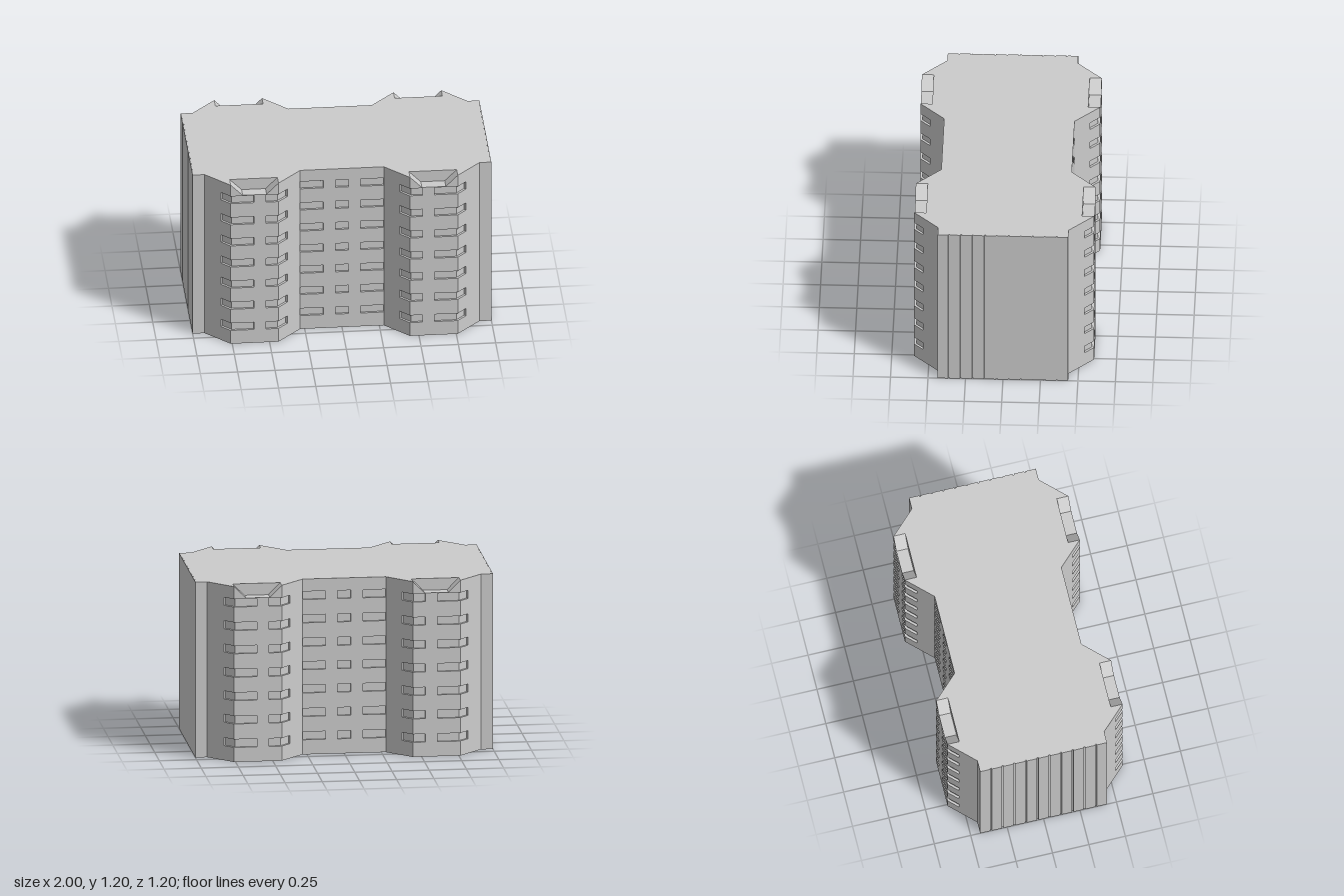
import * as THREE from 'three';

const H = 1.2, FLOORS = 7, PITCH = 0.16, SILL = 0.1, BAND = 0.055;
const FACE = 0.6, NOTCH_Z = 0.52, NOTCH_Y = 1.12;

const material = new THREE.MeshStandardMaterial({ color: 0xcccccc, side: THREE.DoubleSide });

// Flat-shaded mesh from a list of quads, each with four [x, y, z] corners
function quadMesh(name, quads) {
  const pos = [];
  for (const [a, b, c, d] of quads) pos.push(...a, ...b, ...c, ...a, ...c, ...d);
  const g = new THREE.BufferGeometry();
  g.setAttribute('position', new THREE.Float32BufferAttribute(pos, 3));
  g.computeVertexNormals();
  const m = new THREE.Mesh(g, material);
  m.name = name;
  return m;
}

// Plan of one quarter: outer x, z, then the recessed x, z where a window sits
const quarter = [
  [0, 0.435, 0, 0.42], [0.045, 0.435, 0.045, 0.42], [0.045, 0.435],
  [0.125, 0.435], [0.125, 0.435, 0.125, 0.42], [0.28, 0.435, 0.28, 0.42], [0.28, 0.435],
  [0.375, 0.533], [0.375, 0.533, 0.386, 0.522], [0.44, FACE, 0.447, 0.585],
  [0.525, FACE, 0.525, 0.585], [0.525, FACE], [0.605, FACE], [0.605, FACE, 0.605, 0.585],
  [0.76, FACE, 0.753, 0.585], [0.82, 0.538, 0.809, 0.527], [0.82, 0.538],
  [0.92, 0.435], [1, 0.435],
].map(([x, z, ix = x, iz = z]) => [x, z, ix, iz]);

// Narrow vertical grooves between the end wall panels
const grooves = [];
for (let i = 0; i < 10; i++) {
  const z = 0.36 - i * 0.08;
  for (const [x, dz] of [[1, 0.005], [0.993, 0.005], [0.993, -0.005], [1, -0.005]])
    grooves.push([x, z + dz, x, z + dz]);
}

// Whole plan, made by mirroring and then turning half way round
const back = quarter.map(([x, z, ix, iz]) => [x, -z, ix, -iz]).reverse();
const half = [...quarter, ...grooves, ...back];
const plan = [...half, ...half.map((p) => p.map((v) => -v))];
const outer = plan.map((p) => [p[0], p[1]]);
const inner = plan.map((p) => [p[2], p[3]]);
const onBay = (p) => Math.abs(p[1]) === FACE;
const at = ([x, z], y) => [x, y, z];

// Wall strip between two heights
function strip(points, y0, y1, skip = () => false) {
  const quads = [];
  points.forEach((a, i) => {
    const b = points[(i + 1) % points.length];
    if (!skip(a, b)) quads.push([at(a, y0), at(b, y0), at(b, y1), at(a, y1)]);
  });
  return quads;
}

// Level faces joining the wall to the recessed windows
function ledge(y, up) {
  return outer.map((a, i) => {
    const j = (i + 1) % outer.length;
    const q = [at(a, y), at(outer[j], y), at(inner[j], y), at(inner[i], y)];
    return up ? q : q.reverse();
  });
}

function createRoof() {
  const pts = [];
  outer.forEach((p, i) => {
    if (!onBay(p)) return pts.push(p);
    const cut = [p[0], Math.sign(p[1]) * NOTCH_Z];
    const next = outer[(i + 1) % outer.length], prev = outer[i - 1];
    if (!onBay(prev)) pts.push(p, cut);
    else if (!onBay(next)) pts.push(cut, p);
  });
  const shape = new THREE.Shape(pts.map(([x, z]) => new THREE.Vector2(x, -z)));
  const g = new THREE.ShapeGeometry(shape);
  g.rotateX(-Math.PI / 2).translate(0, H, 0);
  const roof = new THREE.Mesh(g, material);
  roof.name = 'roof';
  return roof;
}

// Bay head with a tapered notch, centred on its own x = 0 and facing +z
function createBayHead(y0) {
  const w = 0.16, n = 0.08, F = FACE, B = NOTCH_Z, N = NOTCH_Y;
  return quadMesh('bayNotch', [
    [[-w, y0, F], [-n, y0, F], [-n, N, F], [-w, H, F]],
    [[-n, y0, F], [n, y0, F], [n, N, F], [-n, N, F]],
    [[n, y0, F], [w, y0, F], [w, H, F], [n, N, F]],
    [[-n, N, B], [n, N, B], [w, H, B], [-w, H, B]],
    [[-n, N, F], [n, N, F], [n, N, B], [-n, N, B]],
    [[-w, H, F], [-n, N, F], [-n, N, B], [-w, H, B]],
    [[n, N, F], [w, H, F], [w, H, B], [n, N, B]],
  ]);
}

export function createModel() {
  const building = new THREE.Group();
  building.name = 'building';

  // Floors: plain wall below, then a recessed window band
  let y = 0;
  for (let f = 0; f < FLOORS; f++) {
    const y0 = SILL + f * PITCH, y1 = y0 + BAND;
    building.add(quadMesh('floorWall', strip(outer, y, y0)));
    building.add(quadMesh('windowBand', [...strip(inner, y0, y1), ...ledge(y0, true), ...ledge(y1, false)]));
    y = y1;
  }

  // Top wall, with the bay fronts left to the notched heads
  building.add(quadMesh('parapetWall', strip(outer, y, H, (a, b) => onBay(a) && onBay(b))));
  for (const x of [-0.6, 0.6]) {
    for (const turn of [0, Math.PI]) {
      const head = createBayHead(y);
      head.position.x = x;
      head.rotation.y = turn;
      building.add(head);
    }
  }
  building.add(createRoof());
  return building;
}
